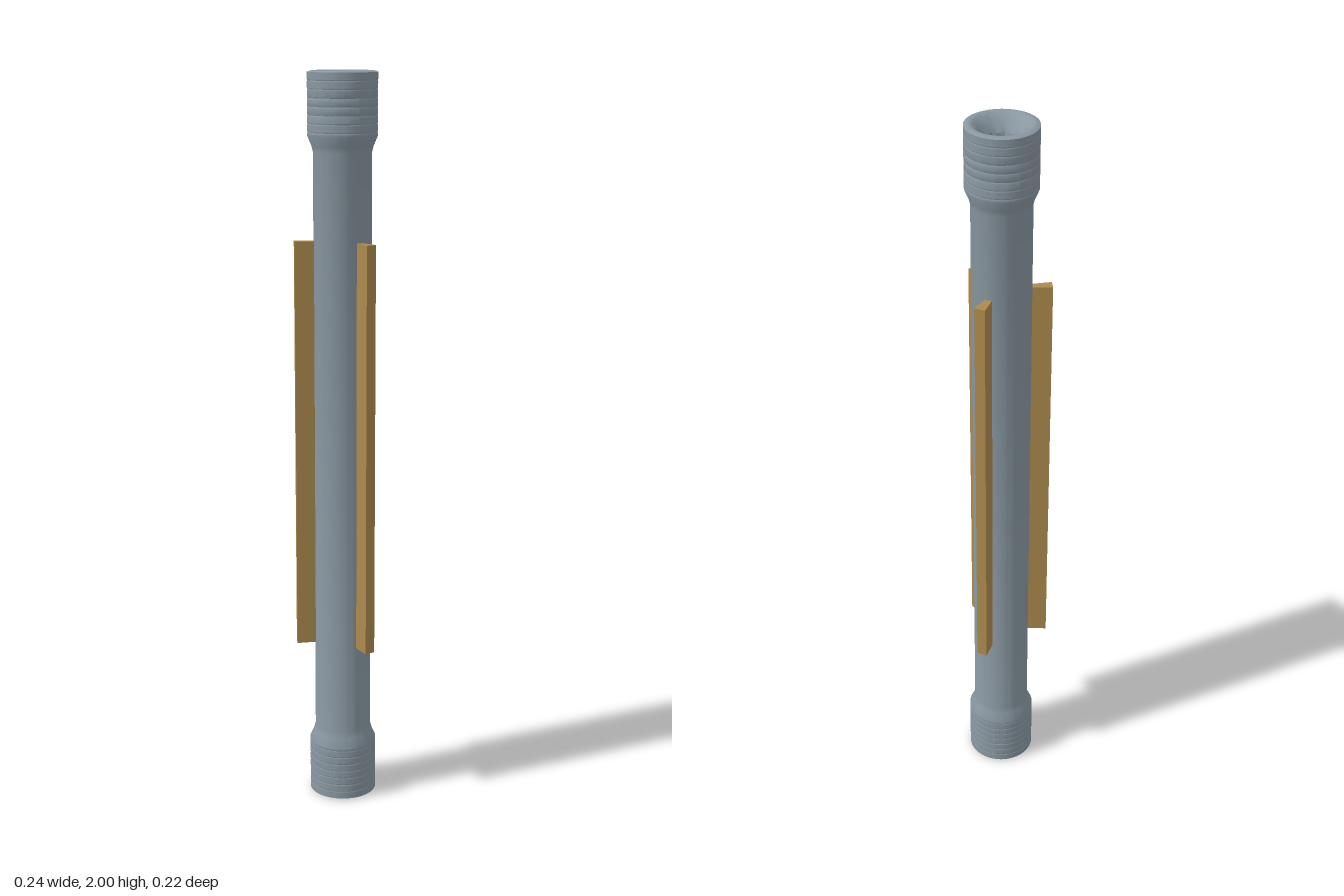
import * as THREE from 'three';
import { toCreasedNormals } from 'three/addons/utils/BufferGeometryUtils.js';

const AXIS_Z = -0.018;
const BORE_R = 0.042;
const COLLAR_R = 0.092;
const TUBE_R = 0.077;

// Half of the closed profile, from the middle outwards to one end; d is the distance from the end.
function endProfile(collar) {
  const p = [[TUBE_R, collar + 0.042], [0.081, collar + 0.026], [COLLAR_R, collar]];
  // fine thread grooves round the collar
  const turns = 7, pitch = (collar - 0.012) / turns;
  for (let i = 0; i < turns; i++) {
    const d = collar - (i + 0.4) * pitch;
    p.push([COLLAR_R, d + 0.003], [COLLAR_R - 0.0015, d], [COLLAR_R, d - 0.003]);
  }
  // rounded lip and funnel into the bore
  p.push([COLLAR_R, 0.004], [0.085, 0.001], [0.078, 0], [0.071, 0.003], [0.064, 0.009], [0.053, 0.022], [BORE_R, 0.042]);
  return p;
}

// Hollow shaft: round outside, octagonal bore inside
function shaftGeometry() {
  const top = endProfile(0.165).map(([r, d]) => new THREE.Vector2(r, 2 - d));
  const bottom = endProfile(0.155).map(([r, d]) => new THREE.Vector2(r, d)).reverse();
  const profile = [...bottom, ...top, bottom[0].clone()];
  const geo = new THREE.LatheGeometry(profile, 64);
  const pos = geo.attributes.position;
  const step = Math.PI / 4;
  for (let i = 0; i < pos.count; i++) {
    const x = pos.getX(i), z = pos.getZ(i);
    if (Math.hypot(x, z) > BORE_R + 0.001) continue;
    const a = Math.atan2(z, x) + 2 * Math.PI + 1e-6;
    const k = Math.cos(step / 2) / Math.cos((a % step) - step / 2);
    pos.setX(i, x * k);
    pos.setZ(i, z * k);
  }
  return toCreasedNormals(geo, 0.6);
}

// Wedge-section rib pointing along +z
function ribGeometry() {
  const y0 = 0.445, y1 = 1.563;
  const s = new THREE.Shape();
  s.moveTo(-0.0085, -0.07);
  s.lineTo(-0.0145, -0.128);
  s.lineTo(0.0145, -0.128);
  s.lineTo(0.0085, -0.07);
  s.closePath();
  const geo = new THREE.ExtrudeGeometry(s, { depth: y1 - y0, bevelEnabled: false });
  geo.rotateX(-Math.PI / 2);
  geo.translate(0, y0, 0);
  return geo;
}

export function createModel() {
  const steel = new THREE.MeshStandardMaterial({ color: 0x8a98a2 });
  steel.name = 'steel grey';
  const brass = new THREE.MeshStandardMaterial({ color: 0xac8a4c });
  brass.name = 'brass';

  const model = new THREE.Group();
  model.name = 'ribbedShaft';

  const shaft = new THREE.Mesh(shaftGeometry(), steel);
  shaft.name = 'shaft';
  model.add(shaft);

  // three ribs evenly spaced round the shaft
  const geo = ribGeometry();
  ['frontRib', 'leftRib', 'rightRib'].forEach((name, i) => {
    const rib = new THREE.Mesh(geo, brass);
    rib.name = name;
    rib.rotation.y = i * 2 * Math.PI / 3;
    model.add(rib);
  });

  model.children.forEach((m) => { m.position.z = AXIS_Z; });
  return model;
}
